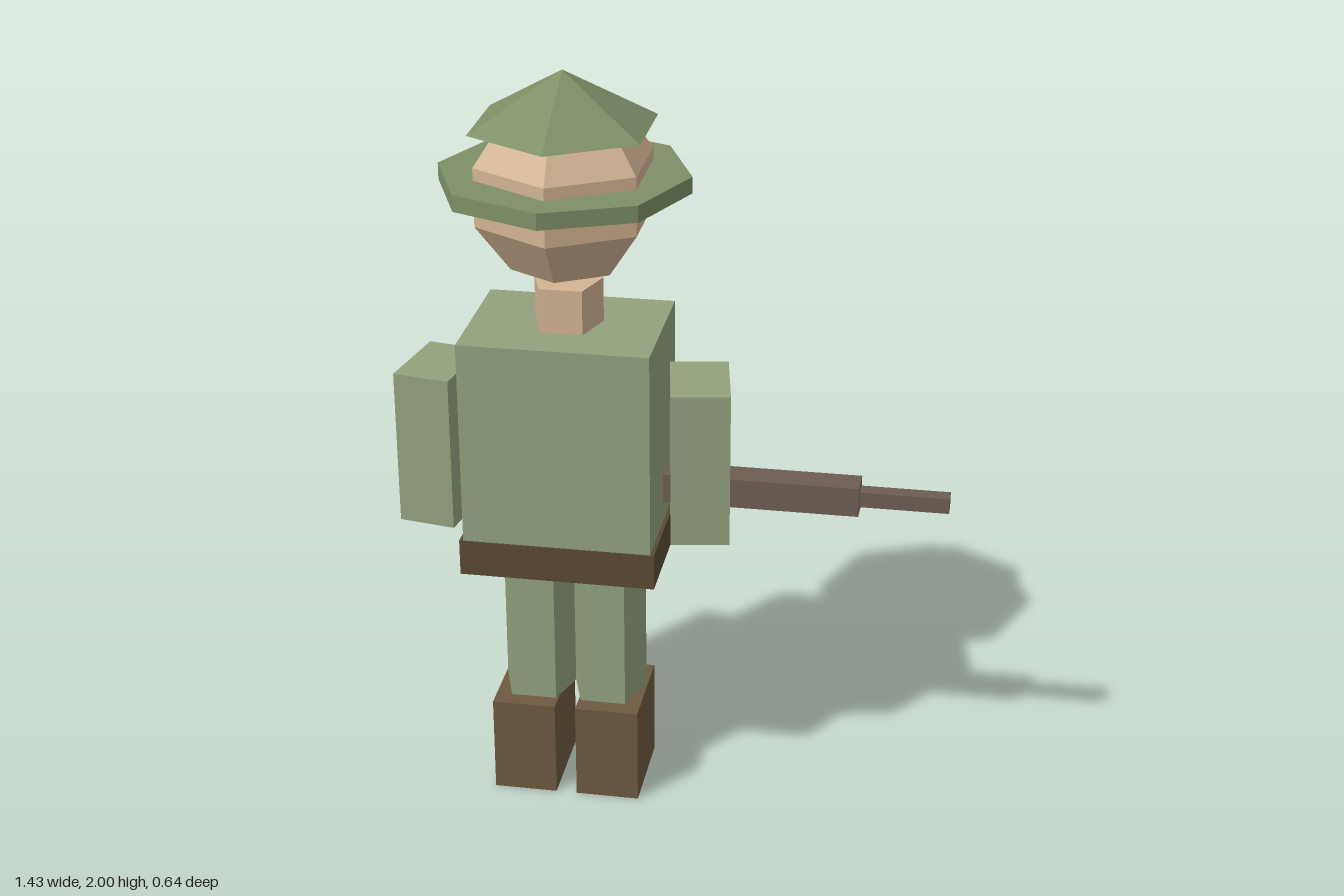
import * as THREE from 'three';

const mat = (color) => new THREE.MeshStandardMaterial({ color, flatShading: true });

export function createModel() {
  const model = new THREE.Group();
  model.name = 'soldier';

  const cloth = mat(0x93a17d);
  const hatGreen = mat(0x7d8f66);
  const skin = mat(0xd2b492);
  const leather = mat(0x6d5a40);
  const beltBrown = mat(0x5a4a31);
  const gunMetal = mat(0x6c5d53);

  // The figure stands left of centre so that the rifle fits in the width
  const body = new THREE.Group();
  body.name = 'figure';
  body.position.x = -0.279;
  model.add(body);

  const add = (parent, name, geometry, material, x, y, z = 0, turn = 0) => {
    const mesh = new THREE.Mesh(geometry, material);
    mesh.name = name;
    mesh.position.set(x, y, z);
    mesh.rotation.y = turn;
    parent.add(mesh);
    return mesh;
  };
  const box = (w, h, d) => new THREE.BoxGeometry(w, h, d);
  const prism = (r, h, sides) => new THREE.CylinderGeometry(r, r, h, sides);

  // Hat: pointed crown over a separate flat brim
  add(body, 'hatCrown', new THREE.ConeGeometry(0.248, 0.14, 6), hatGreen, 0, 1.93);
  add(body, 'hatBrim', prism(0.322, 0.043, 8), hatGreen, 0, 1.723);

  // Head and five-sided neck
  add(body, 'head', new THREE.SphereGeometry(0.247, 6, 5), skin, 0, 1.70, 0, Math.PI / 2);
  add(body, 'neck', prism(0.094, 0.12, 5), skin, 0, 1.393, 0, Math.PI);

  // Torso and belt
  add(body, 'torso', box(0.492, 0.55, 0.38), cloth, 0, 1.06);
  add(body, 'belt', box(0.512, 0.097, 0.386), beltBrown, 0, 0.737);

  // Arms, legs and boots, mirrored
  for (const [side, s] of [['left', 1], ['right', -1]]) {
    add(body, side + 'Arm', box(0.152, 0.418, 0.226), cloth, s * 0.343, 0.994, 0, s * 0.174);
    add(body, side + 'Leg', prism(0.104, 0.422, 5), cloth, s * 0.095, 0.479, 0, Math.PI);
    add(body, side + 'Boot', box(0.17, 0.268, 0.262), leather, s * 0.113, 0.134);
  }

  // Rifle held out to the side
  const rifle = new THREE.Group();
  rifle.name = 'rifle';
  rifle.position.set(0, 0.884, -0.04);
  model.add(rifle);
  add(rifle, 'rifleBody', box(0.56, 0.08, 0.08), gunMetal, 0.2, 0);
  add(rifle, 'rifleBarrel', box(0.232, 0.042, 0.042), gunMetal, 0.596, 0);

  return model;
}
